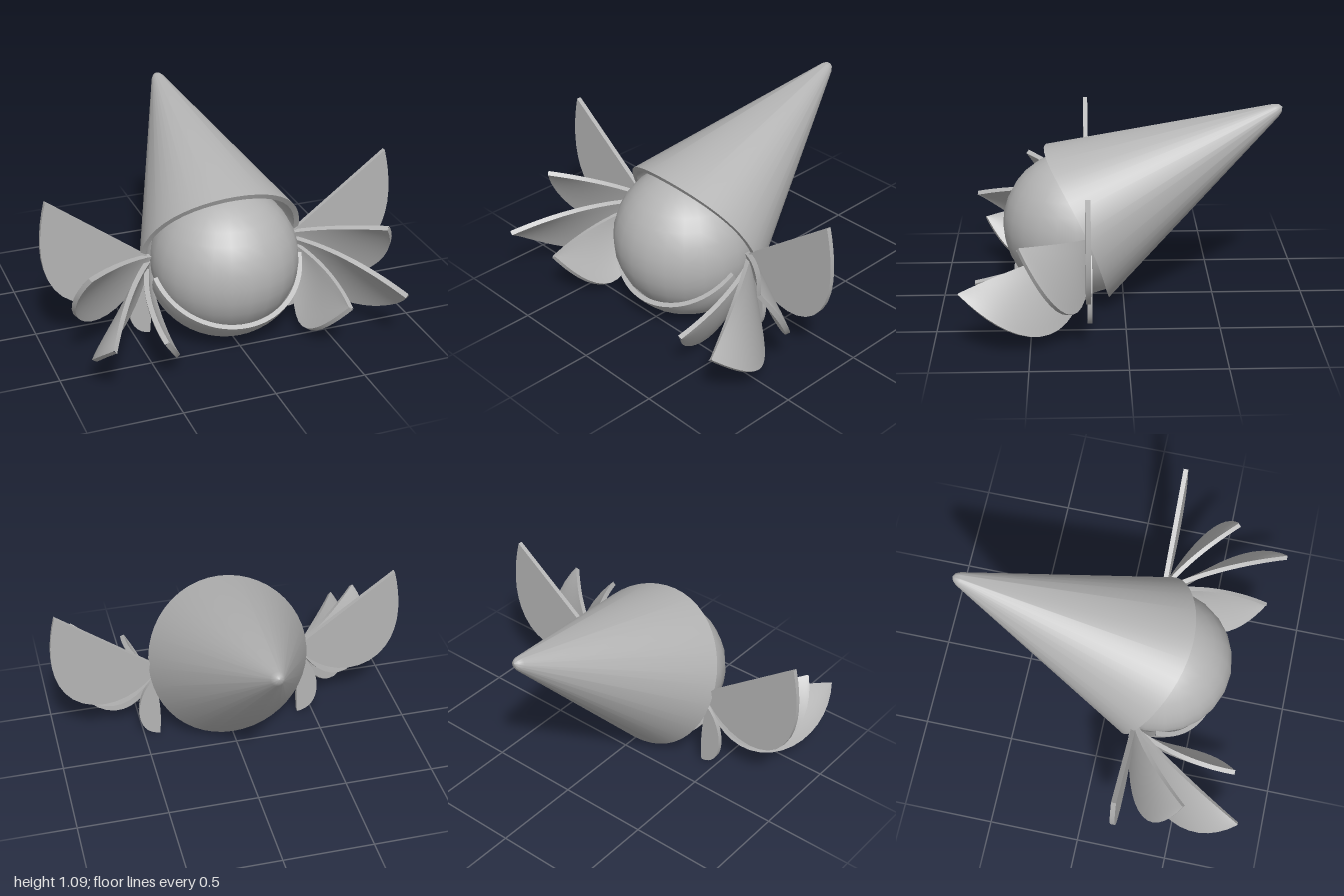
import * as THREE from 'three';
import { toCreasedNormals } from 'three/addons/utils/BufferGeometryUtils.js';

const V = (x, y, z) => new THREE.Vector3(x, y, z);
const grey = new THREE.MeshStandardMaterial({ color: 0xb4b4b4 });
grey.name = 'grey';
const headCentre = V(0, 0.43, 0.26);

// Closed skin over equal rings of points, turned to face outward
function loft(name, rings) {
  const n = rings[0].length, pts = rings.flat(), idx = [];
  for (let i = 0; i < rings.length - 1; i++) {
    for (let j = 0; j < n; j++) {
      const a = i * n + j, b = i * n + (j + 1) % n;
      idx.push(a, b, a + n, b, b + n, a + n);
    }
  }
  let volume = 0;
  for (let i = 0; i < idx.length; i += 3) {
    volume += pts[idx[i]].dot(pts[idx[i + 1]].clone().cross(pts[idx[i + 2]]));
  }
  if (volume < 0) idx.reverse();
  const geo = new THREE.BufferGeometry().setFromPoints(pts);
  geo.setIndex(idx);
  const mesh = new THREE.Mesh(toCreasedNormals(geo, 0.7), grey);
  mesh.name = name;
  return mesh;
}

// Thick leaf between a gently bent upper edge and a full, rounded lower edge
function leaf(name, side, root, tip, bend, belly1, belly2, { cup = 0, wrap = 0 } = {}) {
  const [r, t, m, b1, b2] = [root, tip, bend, belly1, belly2].map(p => V(p[0] * side, p[1], p[2]));
  const upper = new THREE.QuadraticBezierCurve3(r, m, t);
  const lower = new THREE.CubicBezierCurve3(r, b1, b2, t);
  const at = (u, v) => {
    const p = upper.getPointAt(u).lerp(lower.getPointAt(u), v);
    p.x += side * cup * 4 * v * (1 - v) * Math.sin(Math.PI * u);
    if (wrap) p.sub(headCentre).setLength(wrap).add(headCentre);
    return p;
  };
  const rings = [], nu = 18, nv = 8, e = 0.01, thick = 0.026;
  for (let i = 0; i <= nu; i++) {
    const u = i / nu, uc = THREE.MathUtils.clamp(u, 0.04, 0.96), front = [], back = [];
    for (let j = 0; j <= nv; j++) {
      const v = j / nv, vc = THREE.MathUtils.clamp(v, e, 1 - e);
      const normal = at(uc + e, vc).sub(at(uc - e, vc))
        .cross(at(uc, vc + e).sub(at(uc, vc - e))).normalize();
      const p = at(u, v);
      front.push(p.clone().addScaledVector(normal, thick / 2));
      back.unshift(p.clone().addScaledVector(normal, -thick / 2));
    }
    rings.push([...front, ...back]);
  }
  return loft(name, rings);
}

// Slanted cone with a thick rim whose sides sweep backward
function hat() {
  const rim = V(0, 0.44, 0.255), axis = V(0, 1.083, -0.862).sub(rim);
  const up = V(0, 0.923, 0.385), n = 48;
  const profile = [[0.85, 0], [0, 0.428], [0, 0.458], [0.97, 0.037], [0.99, 0.022], [1, 0]];
  const rings = profile.map(([s, r]) => Array.from({ length: n }, (_, i) => {
    const a = i / n * Math.PI * 2, sin = Math.sin(a);
    return rim.clone().addScaledVector(axis, s + 0.055 * (1 - s) * sin * sin)
      .addScaledVector(up, r * Math.cos(a)).add(V(r * sin, 0, 0));
  }));
  return loft('pointed hat', rings);
}

// One side's fan of leaves and its half of the collar
function leafFan(side) {
  const fan = new THREE.Group();
  fan.name = side > 0 ? 'left leaves' : 'right leaves';
  fan.add(
    leaf('flat wing leaf', side, [0.4, 0.47, 0.2], [0.96, 0.89, 0.2],
      [0.68, 0.68, 0.2], [0.62, 0.12, 0.2], [1.14, 0.2, 0.2]),
    leaf('upper leaf', side, [0.4, 0.48, 0.2], [0.83, 0.59, 0.55],
      [0.6, 0.53, 0.3], [0.64, -0.04, 0.19], [1.05, 0.26, 0.37], { cup: 0.02 }),
    leaf('middle leaf', side, [0.41, 0.45, 0.2], [0.8, 0.34, 0.855],
      [0.62, 0.46, 0.48], [0.58, -0.13, 0.24], [1.0, 0.09, 0.55], { cup: 0.02 }),
    leaf('inner leaf', side, [0.43, 0.42, 0.23], [0.51, 0.29, 0.79],
      [0.54, 0.37, 0.5], [0.37, -0.08, 0.34], [0.3, -0.02, 0.61], { cup: 0.02 }),
    leaf('small hanging leaf', side, [0.43, 0.4, 0.19], [0.41, 0.01, 0.19],
      [0.39, 0.2, 0.19], [0.55, 0.3, 0.19], [0.57, 0.02, 0.19]),
    leaf('collar leaf', side, [0.4, 0.41, 0.32], [-0.03, 0.18, 0.6],
      [0.3, 0.25, 0.5], [0.47, 0.16, 0.19], [-0.02, -0.18, 0.04], { wrap: 0.418 }),
  );
  return fan;
}

export function createModel() {
  const model = new THREE.Group();
  model.name = 'hatted leaf creature';

  const head = new THREE.Mesh(new THREE.SphereGeometry(0.402, 24, 16), grey);
  head.name = 'round head';
  head.position.copy(headCentre);
  model.add(head, hat(), leafFan(1), leafFan(-1));
  return model;
}
